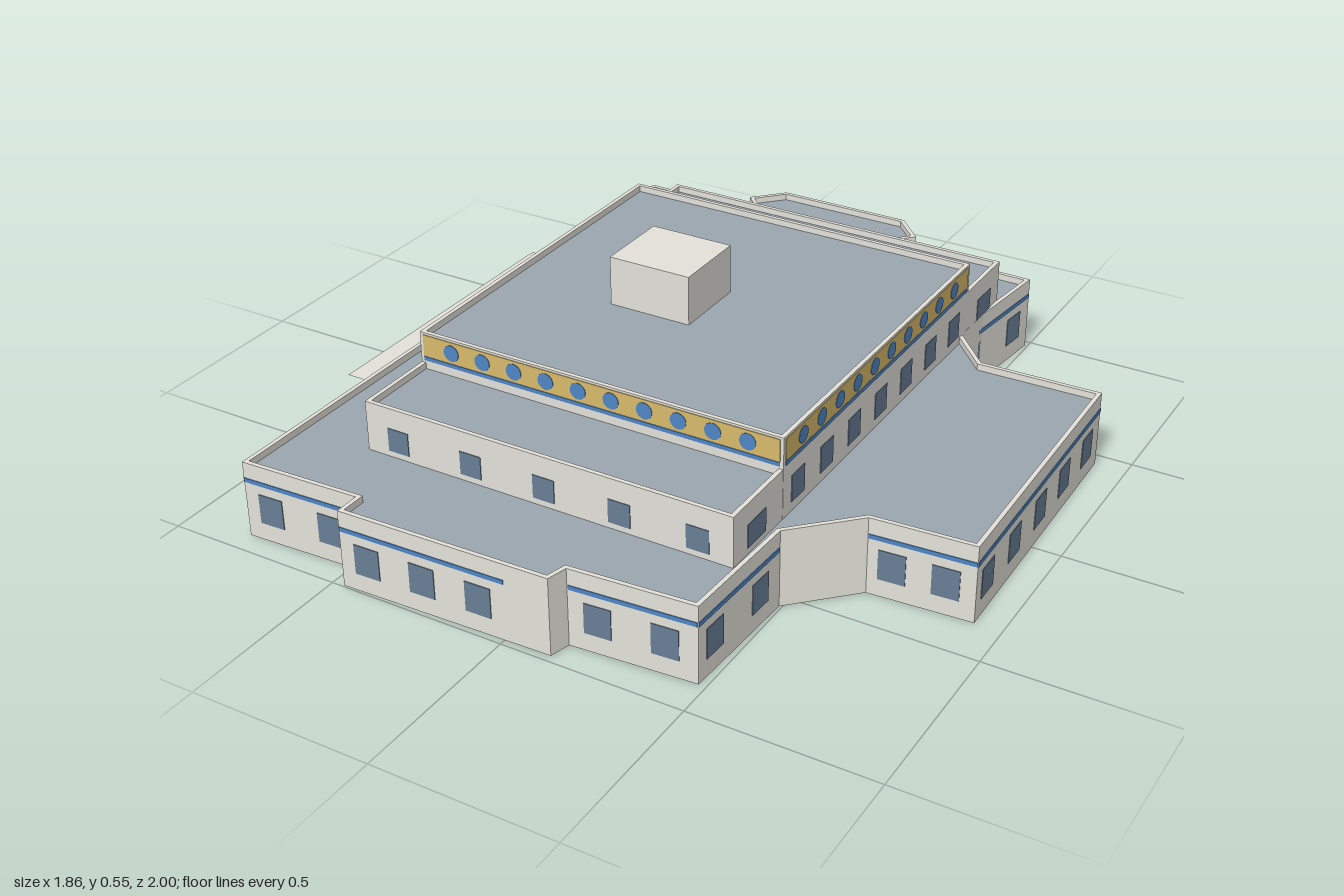
import * as THREE from 'three';

const wallMat = new THREE.MeshStandardMaterial({ color: 0xe4e2da, side: THREE.DoubleSide });
const roofMat = new THREE.MeshStandardMaterial({ color: 0x9ca6af, side: THREE.DoubleSide });
const glassMat = new THREE.MeshStandardMaterial({ color: 0x697e96 });
const blueMat = new THREE.MeshStandardMaterial({ color: 0x4f86c6 });
const goldMat = new THREE.MeshStandardMaterial({ color: 0xd8ba6b });
Object.entries({ wall: wallMat, roof: roofMat, glass: glassMat, blue: blueMat, gold: goldMat })
  .forEach(([name, m]) => { m.name = name; });

const WALL = 0.012;

// Plans are lists of [x, z], running along the back first, then down the +x side
const rect = (x0, x1, z0, z1) => [[x0, z0], [x1, z0], [x1, z1], [x0, z1]];
const basePlan = [
  [-0.8, -0.998], [0.492, -0.977], [0.462, -0.71], [0.46, -0.57], [0.57, -0.45],
  [0.912, -0.457], [0.927, 0.368], [0.648, 0.385], [0.493, 0.54], [0.48, 0.9],
  [0.142, 0.923], [0.128, 0.979], [-0.467, 0.995], [-0.467, 0.924], [-0.812, 0.938],
];
const middlePlan = rect(-0.597, 0.46, -0.81, 0.707);
const upperPlan = rect(-0.598, 0.461, -0.592, 0.47);
const bayPlan = [[-0.315, -0.985], [0.08, -0.985], [0.16, -0.9], [0.08, -0.815], [-0.315, -0.815], [-0.395, -0.9]];

// Moves every edge of a plan inward by d and intersects the neighbours
function inset(plan, d) {
  const n = plan.length;
  const lines = plan.map((a, i) => {
    const b = plan[(i + 1) % n];
    const dx = b[0] - a[0], dz = b[1] - a[1], l = Math.hypot(dx, dz);
    return { p: [a[0] - (dz / l) * d, a[1] + (dx / l) * d], u: [dx / l, dz / l] };
  });
  return lines.map((b, i) => {
    const a = lines[(i + n - 1) % n];
    const cross = a.u[0] * b.u[1] - a.u[1] * b.u[0];
    const t = ((b.p[0] - a.p[0]) * b.u[1] - (b.p[1] - a.p[1]) * b.u[0]) / cross;
    return [a.p[0] + a.u[0] * t, a.p[1] + a.u[1] * t];
  });
}

const toPoints = (plan) => plan.map(([x, z]) => new THREE.Vector2(x, -z));

function addMesh(parent, name, geometry, material) {
  const mesh = new THREE.Mesh(geometry, material);
  mesh.name = name;
  parent.add(mesh);
  return mesh;
}

// Flat horizontal surface at height y
function addSlab(parent, name, plan, y, material) {
  const geo = new THREE.ShapeGeometry(new THREE.Shape(toPoints(plan)));
  geo.rotateX(-Math.PI / 2);
  addMesh(parent, name, geo, material).position.y = y;
}

// Hollow storey: thin walls from the ground up to the parapet and a sunken roof
function addStorey(parent, name, plan, top, roofY) {
  const group = new THREE.Group();
  group.name = name;
  parent.add(group);
  const inner = inset(plan, WALL);
  const shape = new THREE.Shape(toPoints(plan));
  shape.holes.push(new THREE.Path(toPoints(inner).reverse()));
  const geo = new THREE.ExtrudeGeometry(shape, { depth: top, bevelEnabled: false });
  geo.rotateX(-Math.PI / 2);
  addMesh(group, name + 'Walls', geo, wallMat);
  addSlab(group, name + 'Roof', inner, roofY, roofMat);
  return group;
}

// Places a mesh on wall number `edge`, at coordinate c along its main axis
function onWall(mesh, plan, edge, c, y) {
  const a = plan[edge], b = plan[(edge + 1) % plan.length];
  const dx = b[0] - a[0], dz = b[1] - a[1];
  const k = Math.abs(dx) > Math.abs(dz) ? 0 : 1;
  const t = (c - a[k]) / (b[k] - a[k]);
  mesh.position.set(a[0] + dx * t, y, a[1] + dz * t);
  mesh.rotation.y = Math.atan2(-dz, dx);
}

function addPanel(parent, name, plan, edge, c, w, y0, y1, material) {
  const mesh = addMesh(parent, name, new THREE.BoxGeometry(w, y1 - y0, 0.004), material);
  onWall(mesh, plan, edge, c, (y0 + y1) / 2);
}

export function createModel() {
  const model = new THREE.Group();
  model.name = 'building';

  const base = addStorey(model, 'groundFloor', basePlan, 0.217, 0.198);
  const middle = addStorey(model, 'middleFloor', middlePlan, 0.338, 0.32);
  const upper = addStorey(model, 'upperFloor', upperPlan, 0.425, 0.407);
  const bay = addStorey(model, 'rearBay', bayPlan, 0.306, 0.288);

  // Ground floor windows: [wall, positions]
  const groundWindows = [
    [0, [-0.7, -0.49, -0.28, -0.065, 0.15, 0.36]],
    [1, [-0.893]],
    [4, [0.68, 0.82]],
    [5, [0.3, 0.13, -0.04, -0.205, -0.37]],
    [6, [0.712, 0.85]],
    [8, [0.83, 0.63]],
    [9, [0.22, 0.395]],
    [11, [-0.39, -0.23, -0.07]],
    [13, [-0.735, -0.555]],
    [14, [-0.72, -0.57, 0.55, 0.75]],
  ];
  for (const [edge, spots] of groundWindows)
    for (const c of spots) addPanel(base, 'groundWindow', basePlan, edge, c, 0.072, 0.05, 0.134, glassMat);
  addPanel(base, 'narrowWindow', basePlan, 1, -0.688, 0.026, 0.05, 0.134, glassMat);

  // Blue line round the ground floor: [wall, from, to]
  const stripes = [
    [0, -0.8, 0.47], [1, -0.975, -0.675], [4, 0.58, 0.91], [5, -0.455, 0.367], [6, 0.65, 0.926],
    [8, 0.545, 0.9], [9, 0.145, 0.478], [11, -0.465, 0.005], [13, -0.81, -0.468], [14, -0.997, 0.937],
  ];
  for (const [edge, c0, c1] of stripes)
    addPanel(base, 'blueStripe', basePlan, edge, (c0 + c1) / 2, c1 - c0, 0.16, 0.172, blueMat);

  // Entrance glazing under a thin canopy
  addPanel(base, 'entranceGlazing', basePlan, 14, -0.22, 0.4, 0.01, 0.134, glassMat);
  addSlab(model, 'canopy', [[-0.928, -0.505], [-0.8, -0.505], [-0.8, 0.375], [-0.933, 0.375]], 0.157, wallMat);

  // Middle floor windows
  for (const edge of [0, 2])
    for (const c of [-0.5, -0.28, -0.065, 0.15, 0.365])
      addPanel(middle, 'middleWindow', middlePlan, edge, c, 0.062, 0.215, 0.28, glassMat);
  for (const edge of [1, 3])
    for (const c of [-0.71, 0.597]) addPanel(middle, 'middleWindow', middlePlan, edge, c, 0.087, 0.215, 0.28, glassMat);
  for (let i = 0; i < 7; i++)
    addPanel(upper, 'sideWindow', upperPlan, 1, 0.395 - i * 0.15, 0.066, 0.225, 0.3, glassMat);
  for (const c of [-0.5, 0.38]) addPanel(upper, 'sideWindow', upperPlan, 3, c, 0.066, 0.225, 0.3, glassMat);
  for (const c of [-0.27, -0.07, 0.13]) addPanel(upper, 'largeWindow', upperPlan, 3, c, 0.17, 0.215, 0.3, glassMat);

  // Gold frieze with discs and a blue line below, on all four sides
  for (let edge = 0; edge < 4; edge++) {
    const alongX = edge % 2 === 0;
    const [c, first, last] = alongX ? [-0.068, -0.5, 0.365] : [-0.06, -0.49, 0.375];
    addPanel(upper, 'goldFrieze', upperPlan, edge, c, 1.04, 0.358, 0.419, goldMat);
    addPanel(upper, 'friezeLine', upperPlan, edge, c, 1.04, 0.345, 0.356, blueMat);
    for (let i = 0; i < 10; i++) {
      const geo = new THREE.CylinderGeometry(0.023, 0.023, 0.007, 16);
      geo.rotateX(Math.PI / 2);
      const disc = addMesh(upper, 'friezeDisc', geo, blueMat);
      onWall(disc, upperPlan, edge, first + ((last - first) * i) / 9, 0.388);
    }
  }

  // Rear bay glazing
  addPanel(bay, 'bayWindow', bayPlan, 0, -0.118, 0.33, 0.22, 0.27, glassMat);
  for (const [edge, z] of [[1, -0.943], [2, -0.853], [4, -0.853], [5, -0.943]])
    addPanel(bay, 'bayWindow', bayPlan, edge, z, 0.076, 0.22, 0.27, glassMat);

  // Rooftop block
  addMesh(model, 'rooftopBlock', new THREE.BoxGeometry(0.238, 0.14, 0.218), wallMat)
    .position.set(-0.156, 0.475, -0.042);

  return model;
}
